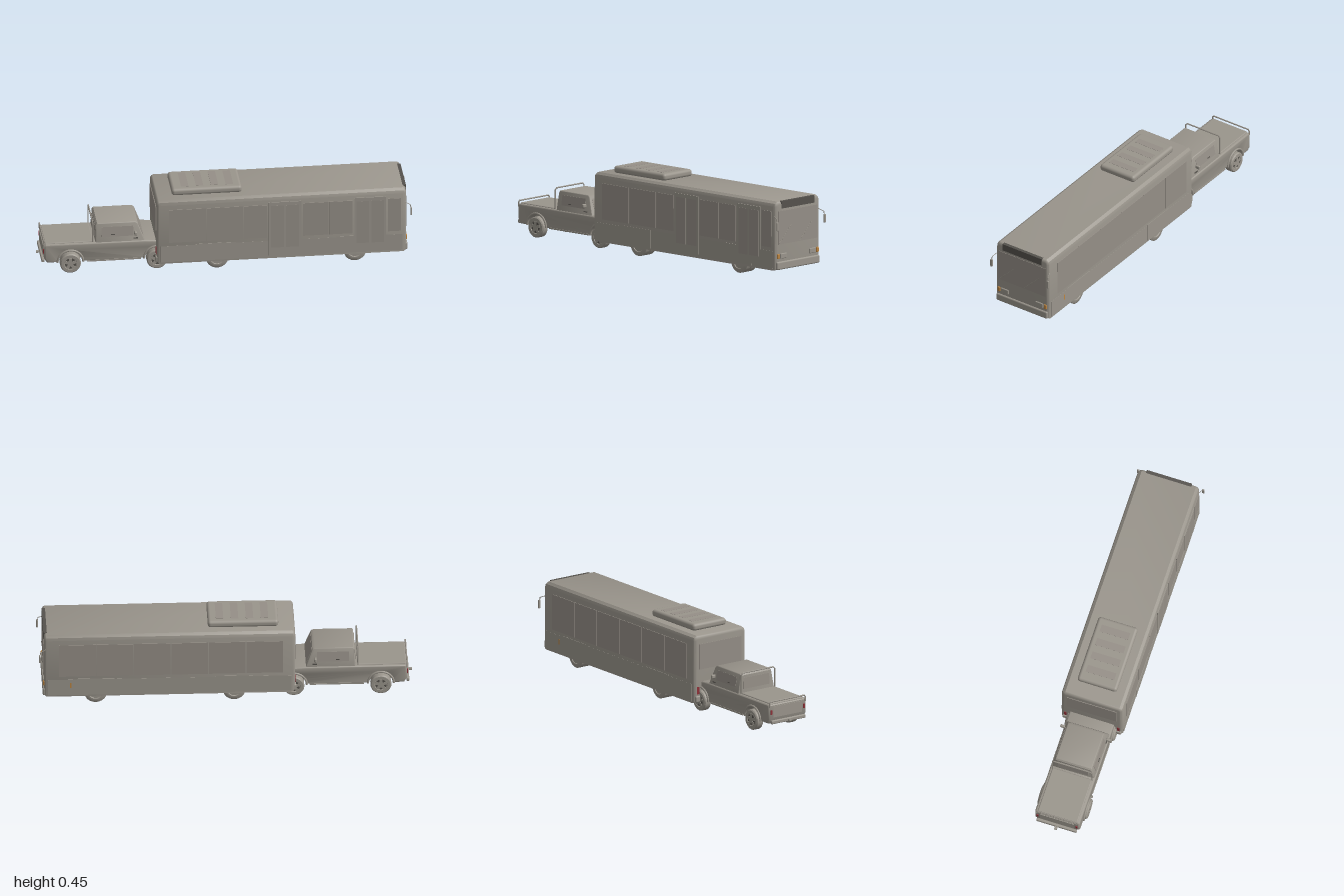
import * as THREE from 'three';
import { toCreasedNormals } from 'three/addons/utils/BufferGeometryUtils.js';
import { RoundedBoxGeometry } from 'three/addons/geometries/RoundedBoxGeometry.js';

const mat = (name, color) => {
  const m = new THREE.MeshStandardMaterial({ color });
  m.name = name;
  return m;
};

export function createModel() {
  const paint = mat('warm grey paint', 0x9a958c);
  const glass = mat('window grey', 0x958f87);
  const trim = mat('dark trim', 0x55524d);
  const amber = mat('amber lamp', 0xbb8440);
  const red = mat('red lamp', 0x8f3038);
  const root = new THREE.Group();
  const bus = new THREE.Group();
  const truck = new THREE.Group();
  bus.name = 'bus';
  truck.name = 'pickupTruck';
  root.add(bus, truck);

  const add = (parent, name, geo, m, x = 0, y = 0, z = 0) => {
    const mesh = new THREE.Mesh(geo, m);
    mesh.name = name;
    mesh.position.set(x, y, z);
    parent.add(mesh);
    return mesh;
  };
  // Box given by its limits along each axis
  const box = (parent, name, m, x0, x1, y0, y1, z0, z1, r = 0) => {
    const s = [x1 - x0, y1 - y0, z1 - z0];
    const geo = r ? new RoundedBoxGeometry(...s, 3, r) : new THREE.BoxGeometry(...s);
    return add(parent, name, geo, m, (x0 + x1) / 2, (y0 + y1) / 2, (z0 + z1) / 2);
  };
  const rod = (parent, name, m, points, r) => {
    const path = new THREE.CurvePath();
    for (let i = 1; i < points.length; i++) {
      path.add(new THREE.LineCurve3(new THREE.Vector3(...points[i - 1]), new THREE.Vector3(...points[i])));
    }
    add(parent, name, new THREE.TubeGeometry(path, (points.length - 1) * 8, r, 6), m);
  };
  const extrude = (shape, depth, bevel, thickness = bevel) => new THREE.ExtrudeGeometry(shape, {
    depth: depth - 2 * thickness, bevelEnabled: true, bevelThickness: thickness,
    bevelSize: bevel, bevelOffset: -bevel, bevelSegments: 4, curveSegments: 20,
  }).translate(0, 0, -(depth - 2 * thickness) / 2);

  // Tyre with rounded shoulders, hub and optional spokes
  const wheel = (parent, name, x, z, side, radius, width, spokes) => {
    const g = new THREE.Group();
    g.name = name;
    g.position.set(x, radius + 0.001, z);
    parent.add(g);
    const h = width / 2, r = radius;
    const profile = [[0, -h * 0.8], [r * 0.58, -h * 0.8], [r * 0.62, -h], [r * 0.9, -h], [r, -h * 0.75],
      [r, h * 0.75], [r * 0.9, h], [r * 0.62, h], [r * 0.58, h * 0.8], [0, h * 0.8]];
    const tyre = new THREE.LatheGeometry(profile.map(p => new THREE.Vector2(...p)), 32);
    tyre.rotateX(Math.PI / 2);
    add(g, 'tyre', toCreasedNormals(tyre, 0.7), paint);
    const hub = new THREE.CylinderGeometry(r * 0.2, r * 0.2, 0.006, 16).rotateX(Math.PI / 2);
    add(g, 'hub', hub, paint, 0, 0, side * h * 0.85);
    if (!spokes) return;
    add(g, 'rimRecess', new THREE.CylinderGeometry(r * 0.54, r * 0.54, 0.004, 24).rotateX(Math.PI / 2), trim, 0, 0, side * h * 0.8);
    for (let i = 0; i < 5; i++) {
      const a = i * Math.PI * 0.4 + Math.PI / 2;
      const spoke = add(g, 'spoke', new THREE.BoxGeometry(r * 0.56, r * 0.3, 0.005), paint,
        Math.cos(a) * r * 0.3, Math.sin(a) * r * 0.3, side * h * 0.88);
      spoke.rotation.z = a;
    }
  };

  // Bus shell: cross-section swept along x
  const section = new THREE.Shape([[-0.172, 0.045], [0.172, 0.045], [0.174, 0.15], [0.172, 0.392],
    [0.167, 0.407], [0.152, 0.418], [-0.152, 0.418], [-0.167, 0.407], [-0.172, 0.392], [-0.174, 0.15]]
    .map(p => new THREE.Vector2(...p)));
  const shell = extrude(section, 1.34, 0.018).rotateY(Math.PI / 2);
  add(bus, 'busBody', toCreasedNormals(shell, 0.6), paint, 0.3);

  // Roof unit with ribs
  box(bus, 'roofUnit', paint, -0.283, 0.094, 0.415, 0.4545, -0.111, 0.111, 0.016);
  for (let i = 0; i < 4; i++) box(bus, 'roofRib', glass, -0.23 + i * 0.08, -0.19 + i * 0.08, 0.45, 0.4555, -0.08, 0.08);

  // Skirts, wheel covers, wheels and windows on both sides
  for (const s of [1, -1]) {
    const plate = (name, m, x0, x1, y0, y1, out) =>
      box(bus, name, m, x0, x1, y0, y1, s > 0 ? 0.17 : -out, s > 0 ? out : -0.17);
    plate('sideSkirt', paint, -0.35, 0.95, 0.055, 0.15, 0.175);
    for (const x of [-0.045, 0.695]) {
      plate('wheelCover', paint, x - 0.1, x + 0.1, 0.055, 0.155, 0.1765);
      wheel(bus, 'busWheel', x, s * 0.149, s, 0.06, 0.038, false);
      wheel(bus, 'busInnerWheel', x, s * 0.106, s, 0.06, 0.042, false);
    }
    const windows = s > 0
      ? [[-0.305, -0.108], [-0.102, 0.092], [0.098, 0.222], [0.415, 0.552], [0.558, 0.68], [0.87, 0.94]]
      : Array.from({ length: 6 }, (_, i) => [-0.305 + i * 0.2, -0.109 + i * 0.2]);
    for (const [a, b] of windows) plate('sideWindow', glass, a, b, 0.17, 0.365, 0.1755);
  }
  for (const [a, b] of [[0.23, 0.405], [0.69, 0.86]]) {
    const mid = (a + b) / 2;
    box(bus, 'doorFrame', paint, a, b, 0.065, 0.38, 0.17, 0.1772);
    for (const [c, d] of [[a + 0.012, mid - 0.006], [mid + 0.006, b - 0.012]]) {
      box(bus, 'doorWindow', glass, c, d, 0.11, 0.36, 0.176, 0.178);
    }
  }
  box(bus, 'sideMarker', amber, 0.826, 0.832, 0.1, 0.13, -0.1765, -0.174);

  // Bus front
  box(bus, 'windshield', glass, 0.965, 0.972, 0.185, 0.365, -0.152, 0.152);
  box(bus, 'destinationSign', trim, 0.95, 0.973, 0.378, 0.4175, -0.127, 0.127);
  box(bus, 'frontBumper', paint, 0.95, 0.978, 0.048, 0.092, -0.165, 0.165, 0.008);
  for (const z of [0.147, -0.013]) rod(bus, 'wiper', paint, [[0.973, 0.19, z], [0.973, 0.285, z - 0.095]], 0.0015);
  for (const s of [1, -1]) {
    add(bus, 'headlight', new RoundedBoxGeometry(0.012, 0.028, 0.049, 2, 0.004), paint, 0.97, 0.121, s * 0.1125);
    add(bus, 'turnSignal', new RoundedBoxGeometry(0.012, 0.028, 0.017, 2, 0.004), amber, 0.97, 0.121, s * 0.151);
    rod(bus, 'mirrorArm', paint, [[0.96, 0.34, s * 0.17], [0.99, 0.327, s * 0.182], [0.994, 0.3, s * 0.183]], 0.002);
    add(bus, 'mirror', new RoundedBoxGeometry(0.009, 0.047, 0.014, 2, 0.004), paint, 0.995, 0.289, s * 0.183);
    box(bus, 'tailLight', red, -0.373, -0.365, 0.095, 0.135, s * 0.148 - 0.007, s * 0.148 + 0.007);
  }
  // Bus rear
  box(bus, 'rearWindow', glass, -0.373, -0.365, 0.23, 0.37, -0.14, 0.14);
  box(bus, 'rearBumper', paint, -0.377, -0.36, 0.05, 0.085, -0.165, 0.165, 0.007);

  // Truck lower body with wheel arches and rounded shoulders
  const side = new THREE.Shape();
  side.moveTo(-0.97, 0.085);
  side.lineTo(-0.955, 0.06);
  for (const x of [-0.83, -0.365]) side.absarc(x, 0.06, 0.066, Math.PI, 0, true);
  for (const p of [[-0.28, 0.06], [-0.265, 0.09], [-0.27, 0.14], [-0.34, 0.16], [-0.43, 0.168], [-0.963, 0.168], [-0.97, 0.16]]) side.lineTo(...p);
  add(truck, 'truckBody', toCreasedNormals(extrude(side, 0.25, 0.008, 0.014), 0.7), paint);
  box(truck, 'truckUnderbody', paint, -0.94, -0.3, 0.065, 0.15, -0.085, 0.085);
  box(truck, 'bedCover', paint, -0.965, -0.705, 0.162, 0.173, -0.111, 0.111, 0.005);

  // Cab narrows towards the roof
  const inward = (y) => 1 - Math.max(0, y - 0.165) * 1.5;
  const cabShape = new THREE.Shape([[-0.695, 0.155], [-0.425, 0.155], [-0.43, 0.168], [-0.465, 0.262],
    [-0.478, 0.27], [-0.683, 0.27], [-0.69, 0.262]].map(p => new THREE.Vector2(...p)));
  const cab = extrude(cabShape, 0.24, 0.006);
  const pos = cab.attributes.position;
  for (let i = 0; i < pos.count; i++) pos.setZ(i, pos.getZ(i) * inward(pos.getY(i)));
  add(truck, 'cab', toCreasedNormals(cab, 0.6), paint);

  // Cab glass
  const pane = (name, w, x, y, z, rx, rz) => {
    const p = add(truck, name, new THREE.BoxGeometry(...w), glass, x, y, z);
    p.rotation.set(rx, 0, rz);
  };
  pane('truckWindshield', [0.003, 0.075, 0.18], -0.448, 0.215, 0, 0, 0.357);
  pane('truckRearWindow', [0.003, 0.06, 0.17], -0.693, 0.218, 0, 0, -0.05);
  for (const s of [1, -1]) {
    pane('cabSideWindow', [0.17, 0.055, 0.003], -0.575, 0.222, s * 0.12 * inward(0.222), -s * 0.178, 0);
    // Cab and bed side fittings
    box(truck, 'doorHandle', trim, -0.61, -0.59, 0.205, 0.209, s * 0.114 - 0.003, s * 0.114 + 0.003);
    box(truck, 'lowerHandle', trim, -0.49, -0.465, 0.18, 0.184, s * 0.119 - 0.003, s * 0.119 + 0.003);
    box(truck, 'sideMirror', paint, -0.487, -0.473, 0.205, 0.225, s * 0.128 - 0.013, s * 0.128 + 0.013, 0.005);
    box(truck, 'sill', paint, -0.74, -0.45, 0.058, 0.066, s * 0.121 - 0.006, s * 0.121 + 0.006);
    for (const x of [-0.83, -0.365]) {
      add(truck, 'archTrim', new THREE.TorusGeometry(0.069, 0.006, 8, 24, Math.PI), paint, x, 0.062, s * 0.127);
      wheel(truck, 'truckWheel', x, s * 0.117, s, 0.056, 0.044, true);
    }
    box(truck, 'truckTailLight', red, -0.974, -0.965, 0.112, 0.136, s * 0.109 - 0.005, s * 0.109 + 0.005);
    box(truck, 'bumperBracket', paint, -0.976, -0.95, 0.065, 0.073, s * 0.07 - 0.008, s * 0.07 + 0.008);
  }

  // Bed hoops, rear bumper and hitch
  const hoop = (name, x, top, w) =>
    rod(truck, name, paint, [[x, 0.15, w], [x, top, w], [x, top, -w], [x, 0.15, -w]], 0.004);
  hoop('rollBar', -0.708, 0.282, 0.111);
  hoop('tailBar', -0.97, 0.183, 0.118);
  box(truck, 'truckRearBumper', paint, -0.983, -0.967, 0.06, 0.08, -0.113, 0.113, 0.005);
  box(truck, 'hitch', paint, -1, -0.96, 0.066, 0.074, -0.008, 0.008);
  box(truck, 'tailgate', paint, -0.974, -0.965, 0.095, 0.155, -0.095, 0.095);
  return root;
}
